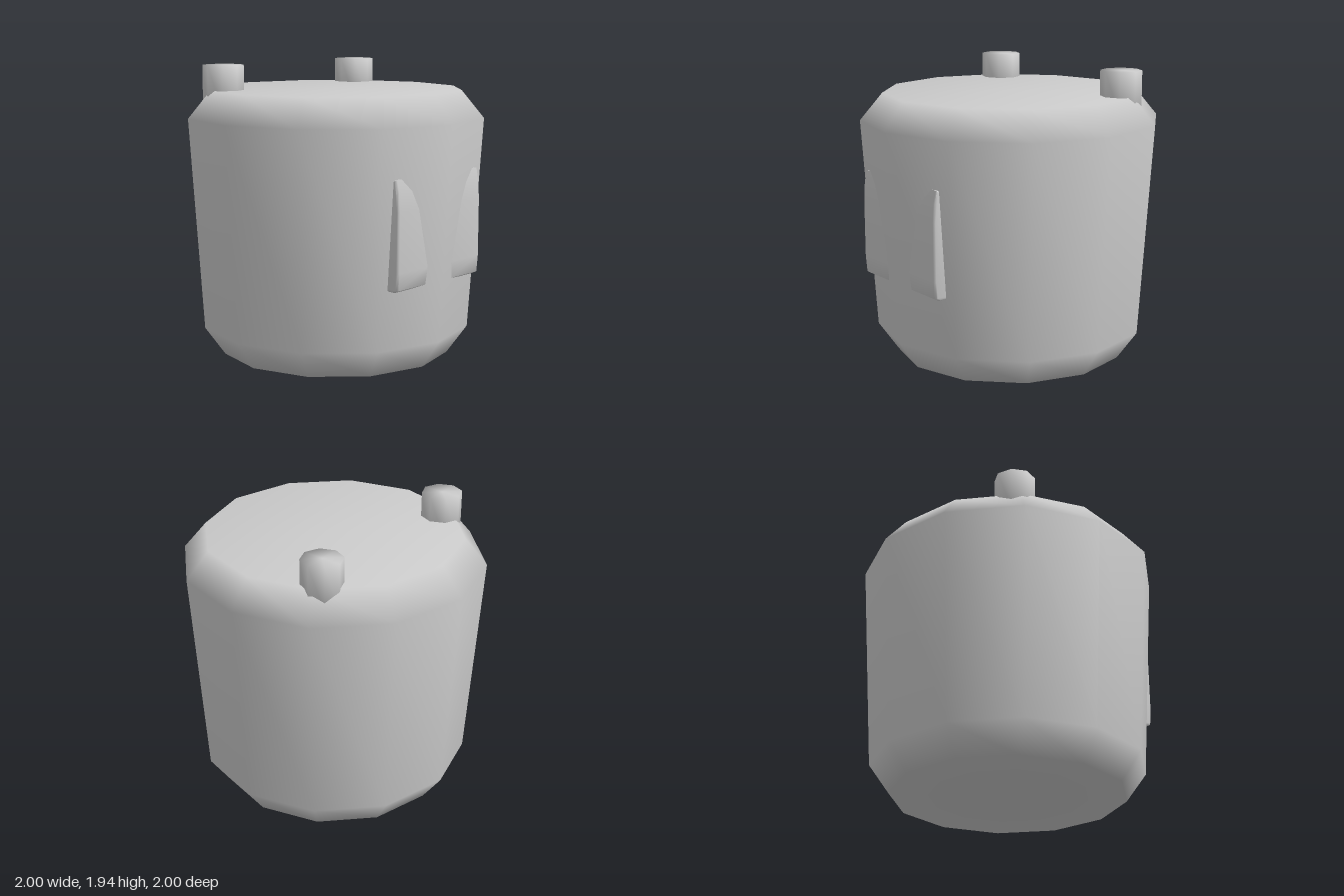
import * as THREE from 'three';
import { toCreasedNormals } from 'three/addons/utils/BufferGeometryUtils.js';

const points = (list) => list.map(([a, b]) => new THREE.Vector2(a, b));

export function createModel() {
  const model = new THREE.Group();
  const grey = new THREE.MeshStandardMaterial({ color: 0xcccccc });
  grey.name = 'plain grey';

  const add = (name, geometry, x = 0, y = 0, z = 0) => {
    const mesh = new THREE.Mesh(geometry, grey);
    mesh.name = name;
    mesh.position.set(x, y, z);
    model.add(mesh);
  };

  // Twelve-sided tapered body with bevelled rims
  add('body', new THREE.LatheGeometry(points([
    [0, 0], [0.775, 0], [0.91, 0.19], [1, 1.595], [0.85, 1.775], [0, 1.775],
  ]), 12));

  // Eight-sided stub, sunk into the top of the body
  const stub = new THREE.LatheGeometry(points([
    [0, 0], [0.135, 0], [0.135, 0.29], [0, 0.29],
  ]), 8);

  // Eye slab: side profile (z, y) extruded across x, softened at both ends
  const profile = new THREE.Shape(points([
    [0.7, 0.58], [0.87, 0.575], [0.9, 0.59], [0.91, 0.7],
    [0.91, 1.08], [0.902, 1.2], [0.885, 1.28], [0.7, 1.28],
  ]));
  const slab = new THREE.ExtrudeGeometry(profile, {
    depth: 0.27, bevelThickness: 0.015, bevelSize: 0.012, bevelOffset: -0.012, bevelSegments: 2,
  });
  slab.rotateY(-Math.PI / 2);
  slab.translate(0.135, 0, 0);
  const eye = toCreasedNormals(slab, Math.PI / 3);

  for (const [side, s] of [['left', 1], ['right', -1]]) {
    add(side + 'Stub', stub, s * 0.635, 1.65, -0.41);
    add(side + 'Eye', eye, s * 0.26);
  }
  return model;
}
